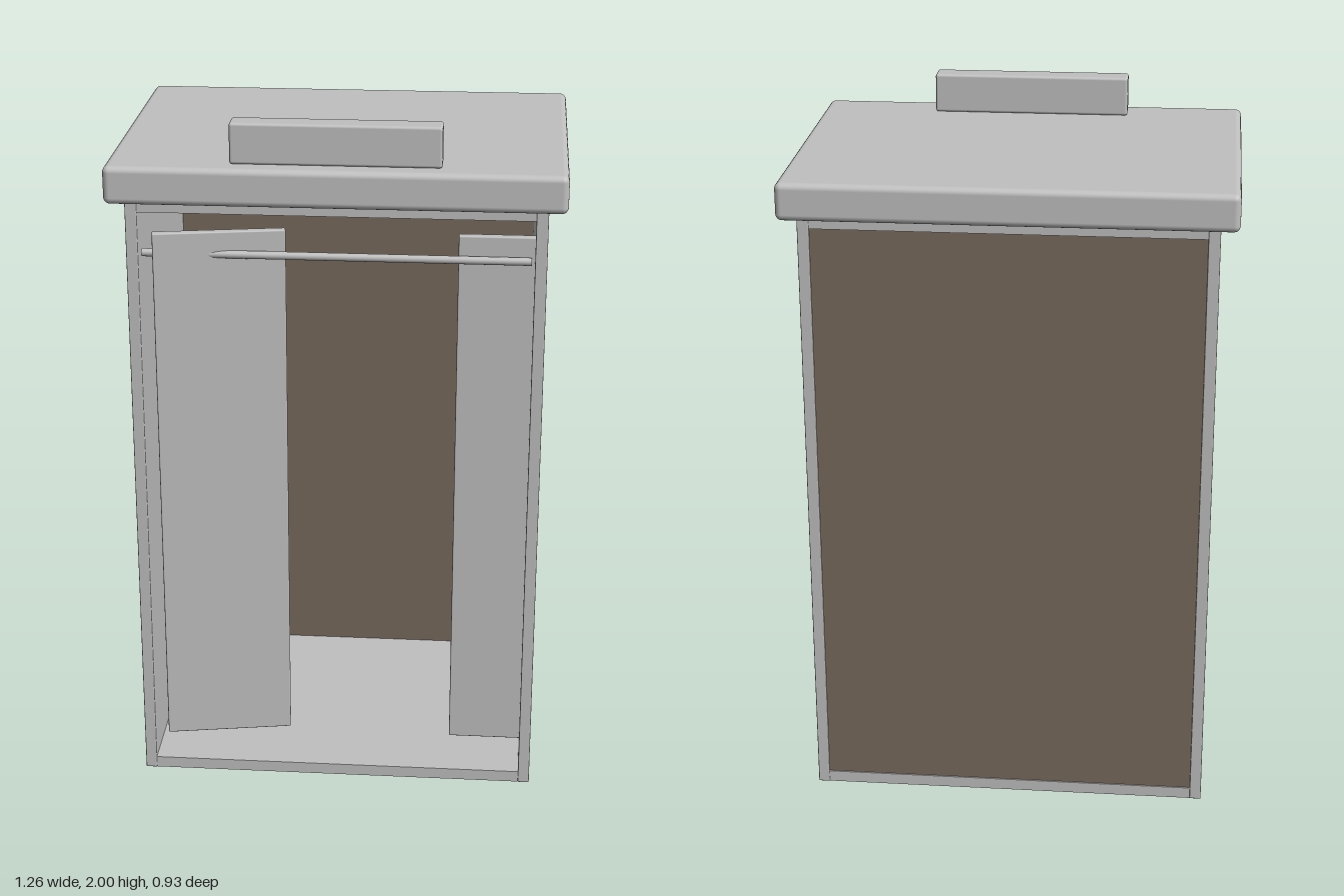
import * as THREE from 'three';
import { RoundedBoxGeometry } from 'three/addons/geometries/RoundedBoxGeometry.js';

export function createModel() {
  const group = new THREE.Group();
  const paint = new THREE.MeshStandardMaterial({ color: 0xc0c0c0 });
  paint.name = 'grey paint';
  const wood = new THREE.MeshStandardMaterial({ color: 0x776a5d });
  wood.name = 'brown board';

  // Box given by its lowest and highest corners, with an optional rounded edge
  function box(name, [x0, y0, z0], [x1, y1, z1], radius = 0, material = paint, parent = group) {
    const size = [x1 - x0, y1 - y0, z1 - z0];
    const geometry = radius
      ? new RoundedBoxGeometry(...size, 3, radius)
      : new THREE.BoxGeometry(...size);
    const mesh = new THREE.Mesh(geometry, material);
    mesh.name = name;
    mesh.position.set((x0 + x1) / 2, (y0 + y1) / 2, (z0 + z1) / 2);
    parent.add(mesh);
    return mesh;
  }

  // Cabinet carcass
  const W = 0.577, D = 0.42, H = 1.78, inner = 0.544;
  box('rightSide', [-W, 0, -D], [-inner, H, D], 0.003);
  box('leftSide', [inner, 0, -D], [W, H, D], 0.003);
  box('floorPanel', [-inner, 0.002, -D], [inner, 0.036, D]);
  box('ceilingPanel', [-inner, 1.748, -D], [inner, H, D]);
  box('backPanel', [-inner, 0.036, -0.416], [inner, 1.748, -0.387], 0, wood);

  // Overhanging cornice and the crest block on top
  box('cornice', [-0.628, 1.78, -0.465], [0.628, 1.886, 0.465], 0.018);
  box('crest', [-0.288, 1.886, 0.341], [0.288, 2, 0.412], 0.008);

  // Door standing slightly ajar, pivoting on its outer front edge
  const ajarDoor = new THREE.Group();
  ajarDoor.name = 'ajarDoor';
  ajarDoor.position.set(-0.5, 0, 0.445);
  ajarDoor.rotation.y = 0.179;
  box('ajarDoorPanel', [0, 0.137, -0.025], [0.366, 1.695, 0], 0.004, paint, ajarDoor);
  group.add(ajarDoor);

  // Second door, tucked into the side wall
  box('slidDoor', [0.335, 0.137, 0.372], [0.56, 1.695, 0.397], 0.004);

  // Hanging rail
  const rail = new THREE.Mesh(new THREE.CylinderGeometry(0.011, 0.011, 1.07, 20), paint);
  rail.name = 'hangingRail';
  rail.rotation.z = Math.PI / 2;
  rail.position.set(0, 1.63, 0.407);
  group.add(rail);

  return group;
}
